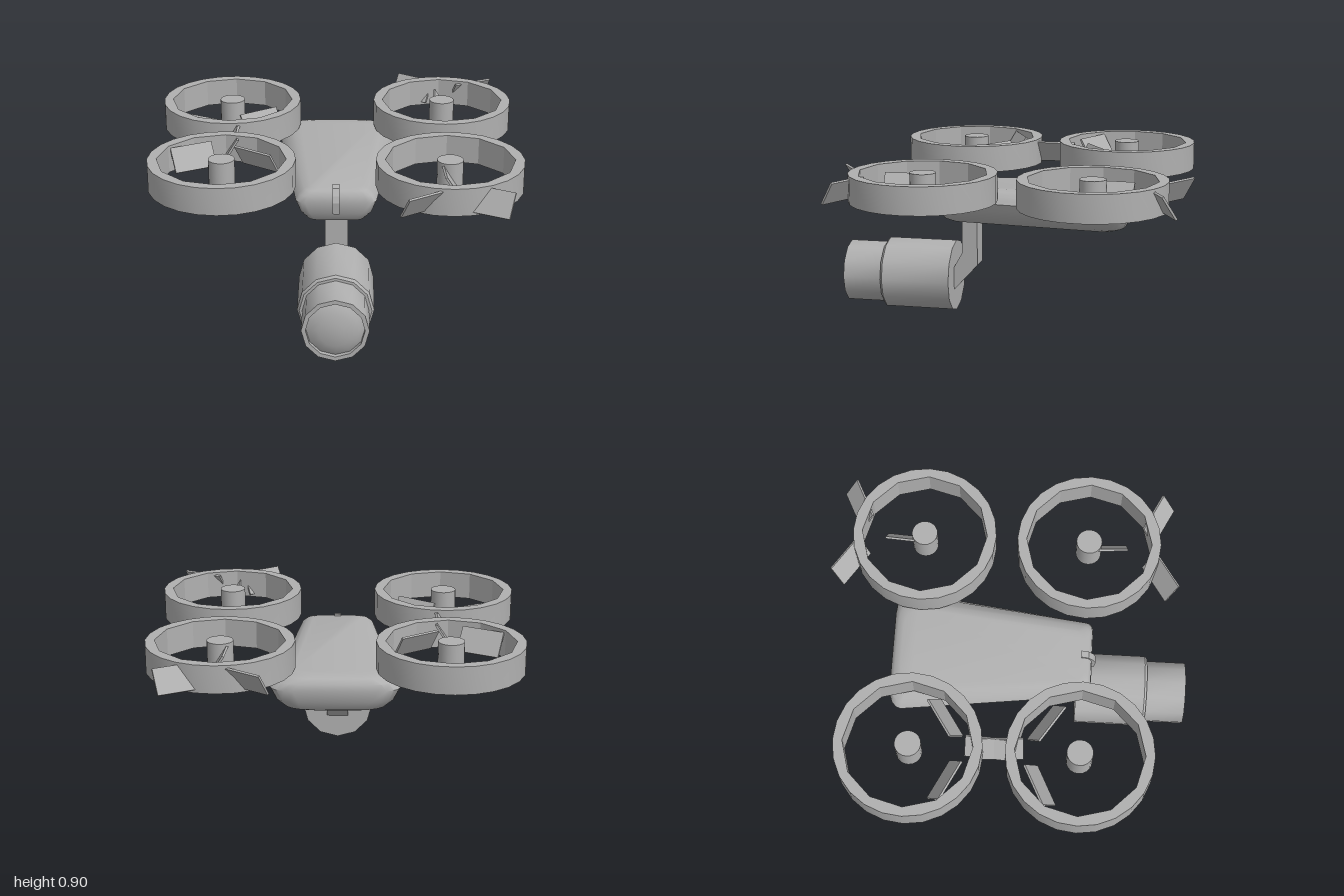
import * as THREE from 'three';
import { toCreasedNormals } from 'three/addons/utils/BufferGeometryUtils.js';

const grey = new THREE.MeshStandardMaterial({ color: 0xb0b0b0 });
grey.name = 'plain grey';

function part(name, geometry, parent, crease = 0) {
  const mesh = new THREE.Mesh(crease ? toCreasedNormals(geometry, crease) : geometry, grey);
  mesh.name = name;
  parent.add(mesh);
  return mesh;
}

// Points of a regular polygon
function polygon(radius, sides) {
  return Array.from({ length: sides }, (_, i) => {
    const a = Math.PI / 2 + (i / sides) * Math.PI * 2;
    return new THREE.Vector2(Math.cos(a) * radius, Math.sin(a) * radius);
  });
}

// Side profile given as [z, y] pairs, extruded across x and centred
function sideProfile(points, width) {
  const shape = new THREE.Shape(points.map(([z, y]) => new THREE.Vector2(-z, y)));
  const g = new THREE.ExtrudeGeometry(shape, { depth: width, bevelEnabled: false });
  return g.translate(0, 0, -width / 2).rotateY(Math.PI / 2);
}

// Solid of revolution along z, profile given as [radius, z] pairs
function turned(points, sides) {
  const g = new THREE.LatheGeometry(points.map(([r, z]) => new THREE.Vector2(r, z)), sides);
  return g.rotateX(Math.PI / 2);
}

// Tapered hull: rounded outlines stacked upward
function hullGeometry() {
  // y, half width at back, half width at front, back z, front z
  const levels = [
    [0.54, 0.21, 0.12, -0.57, 0.37],
    [0.56, 0.26, 0.15, -0.61, 0.41],
    [0.61, 0.31, 0.19, -0.635, 0.435],
    [0.675, 0.34, 0.215, -0.645, 0.445],
    [0.71, 0.315, 0.2, -0.64, 0.44],
    [0.735, 0.26, 0.17, -0.62, 0.425],
    [0.745, 0.22, 0.14, -0.59, 0.40],
  ];
  const steps = 4, n = 4 * (steps + 1);
  const pos = [], index = [];
  for (const [y, wb, wf, zb, zf] of levels) {
    for (let c = 0; c < 4; c++) {
      const back = c < 2, side = c === 0 || c === 3 ? 1 : -1;
      const rx = back ? 0.12 : 0.05, rz = back ? 0.07 : 0.04;
      const cx = side * ((back ? wb : wf) - rx), cz = back ? zb + rz : zf - rz;
      for (let i = 0; i <= steps; i++) {
        const a = (c + i / steps) * Math.PI / 2;
        pos.push(cx + rx * Math.cos(a), y, cz - rz * Math.sin(a));
      }
    }
  }
  for (let l = 0; l < levels.length - 1; l++) {
    for (let i = 0; i < n; i++) {
      const j = (i + 1) % n, a = l * n, b = a + n;
      index.push(a + i, a + j, b + j, a + i, b + j, b + i);
    }
  }
  const top = (levels.length - 1) * n;
  for (let i = 1; i < n - 1; i++) {
    index.push(top, top + i, top + i + 1, 0, i + 1, i);
  }
  const g = new THREE.BufferGeometry();
  g.setAttribute('position', new THREE.Float32BufferAttribute(pos, 3));
  g.setIndex(index);
  return g;
}

// Ducted rotor; mirrorX and mirrorZ flip the blade layout, side sets where the blades sit
function addRotor(parent, name, x, z, mirrorX, mirrorZ, bladeShift) {
  const rotor = new THREE.Group();
  rotor.name = name;
  rotor.position.set(x, 0, z);
  parent.add(rotor);

  const shape = new THREE.Shape(polygon(0.392, 24));
  shape.holes.push(new THREE.Path(polygon(0.342, 12)));
  const ring = new THREE.ExtrudeGeometry(shape, { depth: 0.15, bevelEnabled: false });
  part('ductRing', ring.rotateX(-Math.PI / 2).translate(0, 0.755, 0), rotor, 0.45);

  const hub = new THREE.CylinderGeometry(0.07, 0.07, 0.15, 20);
  part('hub', hub.translate(0, 0.83, 0), rotor);

  // Three tilted blades around an offset centre
  for (let i = 0; i < 3; i++) {
    const a = (26.5 + 120 * i) * Math.PI / 180;
    const dx = Math.cos(a) * mirrorX, dz = Math.sin(a) * mirrorZ;
    const blade = part('blade', new THREE.BoxGeometry(0.235, 0.012, 0.14), rotor);
    blade.rotation.order = 'YXZ';
    blade.rotation.y = -Math.atan2(dz, dx);
    blade.rotation.x = mirrorX * mirrorZ * 1.01;
    blade.position.set(0.01 + dx * 0.197, 0.83, bladeShift + dz * 0.197);
  }
}

export function createModel() {
  const model = new THREE.Group();
  model.name = 'cameraDrone';

  part('hull', hullGeometry(), model, 0.75);

  // Curved strip on the nose
  part('noseStrip', sideProfile([[0.385, 0.757], [0.425, 0.748], [0.452, 0.715], [0.465, 0.68],
    [0.458, 0.615], [0.41, 0.615], [0.41, 0.69], [0.385, 0.72]], 0.037), model);

  // Four rotors
  addRotor(model, 'frontLeftRotor', 0.6, 0.397, 1, 1, 0.29);
  addRotor(model, 'backLeftRotor', 0.6, -0.503, 1, -1, -0.29);
  addRotor(model, 'frontRightRotor', -0.604, 0.397, -1, 1, -0.29);
  addRotor(model, 'backRightRotor', -0.604, -0.503, -1, -1, 0.29);

  // Bent arm carrying the camera
  part('cameraArm', sideProfile([[0.325, 0.56], [0.325, 0.347], [0.385, 0.24], [0.385, 0.125],
    [0.37, 0.135], [0.237, 0.28], [0.237, 0.56]], 0.124), model);

  // Camera pointing forward
  const camera = new THREE.Group();
  camera.name = 'camera';
  camera.position.y = 0.204;
  model.add(camera);
  part('cameraBody', turned([[0, 0.372], [0.202, 0.372], [0.202, 0.757], [0.19, 0.77], [0, 0.77]], 12),
    camera, 0.6);
  part('lensBarrel', turned([[0.175, 0.765], [0.175, 0.988], [0.152, 0.988], [0.152, 0.95]], 12),
    camera, 0.6);
  part('lensGlass', turned([[0.152, 0.962], [0.125, 0.977], [0.09, 0.989], [0.045, 0.997], [0, 1.0]], 12),
    camera, 0.6);

  return model;
}
